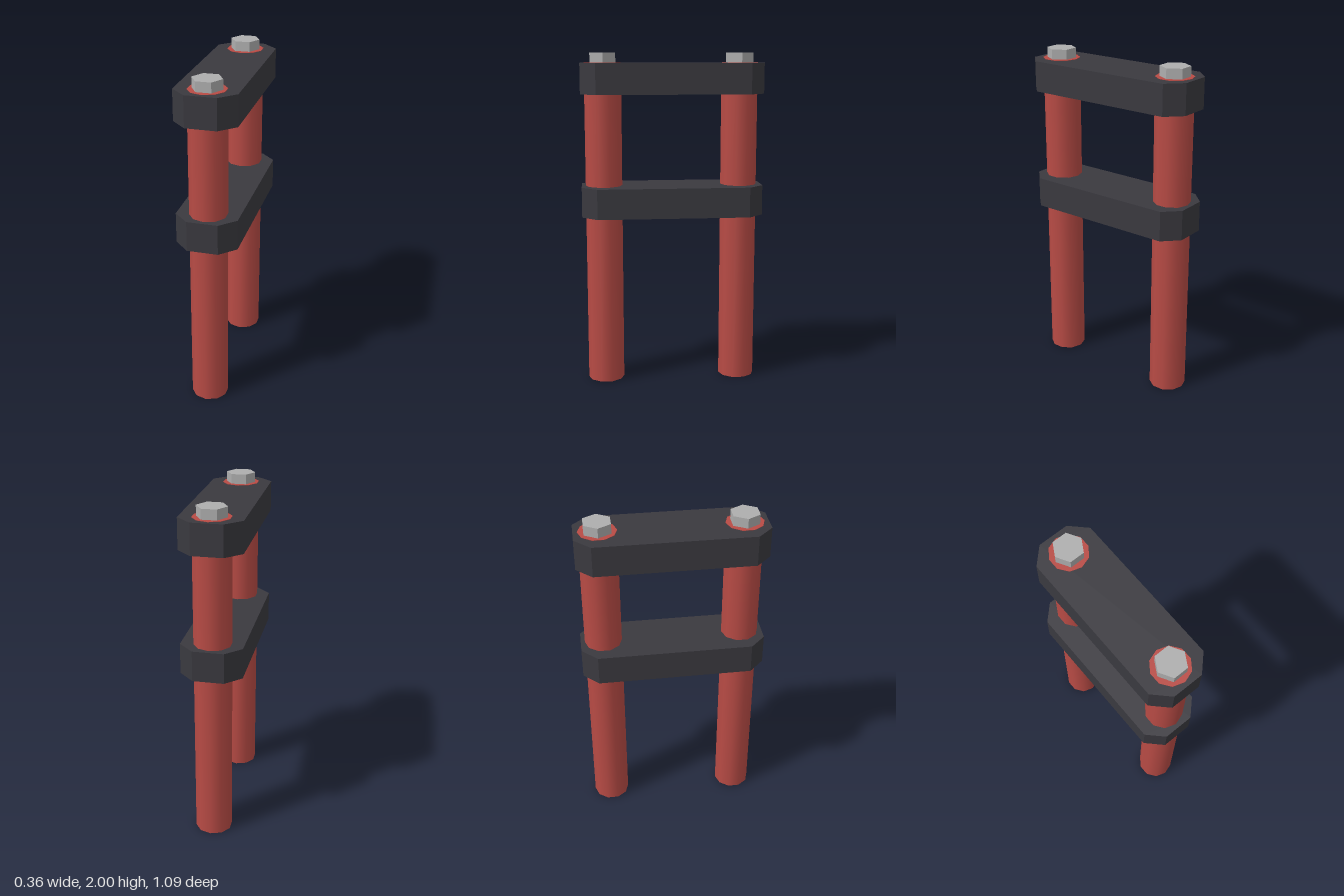
import * as THREE from 'three';

export function createModel() {
  const model = new THREE.Group();
  model.name = 'twinPostFrame';

  const red = new THREE.MeshStandardMaterial({ name: 'red', color: 0xb84b45 });
  const charcoal = new THREE.MeshStandardMaterial({ name: 'charcoal', color: 0x3a393f });
  const grey = new THREE.MeshStandardMaterial({ name: 'grey', color: 0xaeaeae });

  const add = (name, geometry, material, y, z) => {
    const mesh = new THREE.Mesh(geometry, material);
    mesh.name = name;
    mesh.position.set(0, y, z);
    model.add(mesh);
  };

  // Ten-sided smooth posts, ending just proud of the upper clamp
  const postHeight = 1.942;
  const postGeometry = new THREE.CylinderGeometry(0.11, 0.11, postHeight, 10);

  // Hexagonal bolt heads with corners towards the sides
  const boltHeight = 0.06;
  const boltGeometry = new THREE.CylinderGeometry(0.087, 0.087, boltHeight, 6).rotateY(Math.PI / 6).toNonIndexed();
  boltGeometry.computeVertexNormals();

  for (const [side, z] of [['front', 0.409], ['back', -0.409]]) {
    add(side + 'Post', postGeometry, red, postHeight / 2, z);
    add(side + 'Bolt', boltGeometry, grey, 2 - boltHeight / 2, z);
  }

  // Clamp plates: long blocks with cut corners
  const outline = new THREE.Shape([
    [0.18, 0.453], [0.09, 0.543], [-0.09, 0.543], [-0.18, 0.453],
    [-0.18, -0.453], [-0.09, -0.543], [0.09, -0.543], [0.18, -0.453],
  ].map(([x, y]) => new THREE.Vector2(x, y)));
  const clampGeometry = new THREE.ExtrudeGeometry(outline, { depth: 0.18, bevelEnabled: false }).rotateX(-Math.PI / 2);

  add('upperClamp', clampGeometry, charcoal, 1.76, 0);
  add('lowerClamp', clampGeometry, charcoal, 1.032, 0);

  return model;
}
